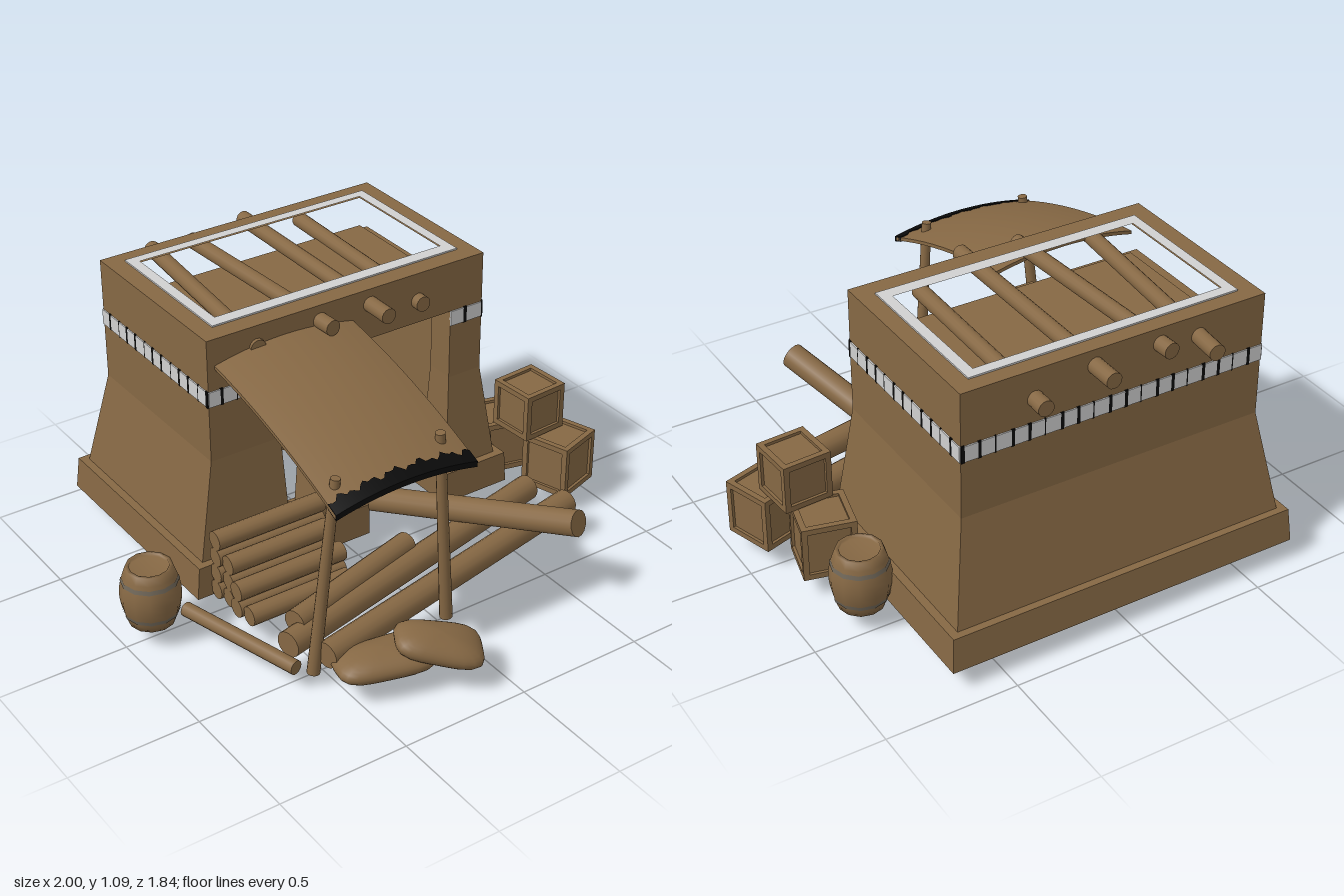
import * as THREE from 'three';

const mat = (name, color) => {
  const m = new THREE.MeshStandardMaterial({ color });
  m.name = name;
  return m;
};

export function createModel() {
  const clay = mat('brown clay', 0x866844);
  const white = mat('pale paint', 0xd0d0d0);
  const black = mat('black trim', 0x0a0a0a);
  const iron = mat('grey hoop', 0x6f6658);
  const model = new THREE.Group();

  const group = (name, parent = model) => {
    const g = new THREE.Group();
    g.name = name;
    parent.add(g);
    return g;
  };
  const add = (name, geo, material, parent = model) => {
    const m = new THREE.Mesh(geo, material);
    m.name = name;
    parent.add(m);
    return m;
  };
  const box = (name, w, h, d, x, y, z, material, parent) => {
    const m = add(name, new THREE.BoxGeometry(w, h, d), material, parent);
    m.position.set(x, y, z);
    return m;
  };
  // Tapered block between two rectangles [x0, x1, z0, z1]
  const block = (name, y0, lo, y1, hi, parent) => {
    const g = new THREE.BoxGeometry(1, 1, 1);
    const p = g.attributes.position;
    for (let i = 0; i < p.count; i++) {
      const up = p.getY(i) > 0, r = up ? hi : lo;
      p.setXYZ(i, r[p.getX(i) > 0 ? 1 : 0], up ? y1 : y0, r[p.getZ(i) > 0 ? 3 : 2]);
    }
    g.computeVertexNormals();
    return add(name, g, clay, parent);
  };
  // Flat rectangular ring lying in the xz plane
  const ring = (name, o, i, y, h, material, parent) => {
    const loop = (C, r) => {
      const c = new C();
      c.moveTo(r[0], -r[2]).lineTo(r[1], -r[2]).lineTo(r[1], -r[3]).lineTo(r[0], -r[3]);
      c.closePath();
      return c;
    };
    const s = loop(THREE.Shape, o);
    s.holes.push(loop(THREE.Path, i));
    const g = new THREE.ExtrudeGeometry(s, { depth: h, bevelEnabled: false });
    g.rotateX(-Math.PI / 2);
    add(name, g, material, parent).position.y = y;
  };
  // Round pole between two points
  const pole = (name, a, b, r, parent, r2 = r, sides = 14) => {
    const A = new THREE.Vector3(...a), B = new THREE.Vector3(...b);
    const d = B.clone().sub(A);
    const m = add(name, new THREE.CylinderGeometry(r2, r, d.length(), sides), clay, parent);
    m.position.copy(A).add(B).multiplyScalar(0.5);
    m.quaternion.setFromUnitVectors(new THREE.Vector3(0, 1, 0), d.normalize());
  };

  // House walls: plinth, sloping foot, upright upper part
  const house = group('house');
  const IN = [-0.48, 0.49, -0.7, -0.17];
  const wall = (name, base, low, top) => {
    block(name + 'Plinth', 0.08, base, 0.21, base.map(v => v * 0.985), house);
    block(name + 'Foot', 0.2, low, 0.6, top, house);
    block(name, 0.6, top, 0.89, top, house);
  };
  wall('backWall', [-0.7, 0.7, -0.92, -0.68], [-0.66, 0.66, -0.88, -0.7], [-0.59, 0.595, -0.8, -0.7]);
  wall('rightWall', [-0.7, -0.46, -0.92, 0], [-0.66, -0.48, -0.88, -0.03], [-0.59, -0.48, -0.8, -0.055]);
  wall('leftWall', [0.46, 0.7, -0.92, 0], [0.49, 0.66, -0.88, -0.03], [0.49, 0.595, -0.8, -0.055]);
  const fronts = [[-0.55, -0.3, 'frontWall'], [-0.14, 0, 'doorPillar'], [0.45, 0.56, 'cornerPillar']];
  for (const [a, b, n] of fronts)
    wall(n, [a - 0.05, b + 0.05, -0.2, 0], [a - 0.02, b + 0.02, -0.19, -0.03], [a, b, -0.17, -0.055]);
  ring('parapet', [-0.59, 0.595, -0.8, -0.055], IN, 0.88, 0.2, clay, house);
  ring('parapetRim', [-0.52, 0.53, -0.74, -0.13], [-0.48, 0.49, -0.7, -0.18], 1.078, 0.008, white, house);
  box('roof', 0.98, 0.04, 0.54, 0.005, 0.94, -0.435, clay, house);

  // Painted band of pale tiles with black gaps
  const band = group('paintedBand', house);
  const strip = (from, to, fixed, alongX) => {
    const n = Math.max(1, Math.round((to - from) / 0.062)), step = (to - from) / n;
    for (let i = 0; i < n; i++) {
      const tile = step * (i % 3 === 1 ? 0.92 : 0.8);
      const put = (name, w, h, c, m) => alongX
        ? box(name, w, h, 0.008, c, 0.85, fixed, m, band)
        : box(name, 0.008, h, w, fixed, 0.85, c, m, band);
      put('tile', tile, 0.06, from + i * step + tile / 2, white);
      put('gap', step - tile, 0.066, from + (i + 1) * step - (step - tile) / 2, black);
    }
  };
  strip(-0.59, 0.595, -0.801, true);
  strip(-0.48, 0.49, -0.699, true);
  strip(-0.8, -0.055, -0.591, false);
  strip(-0.8, -0.055, 0.596, false);
  strip(-0.59, -0.3, -0.054, true);
  strip(-0.14, 0, -0.054, true);
  strip(0.45, 0.595, -0.054, true);

  // Roof beams poking through the walls
  const beams = group('roofBeams');
  [[-0.31, -0.92, -0.39, -0.04, 1.0], [-0.17, -0.86, -0.12, 0.02, 1.02],
    [0.09, -0.91, 0.09, 0.06, 1.02], [0.32, -0.87, 0.3, -0.02, 0.97]]
    .forEach(([x0, z0, x1, z1, y]) => pole('beam', [x0, y, z0], [x1, y, z1], 0.03, beams));

  // Sagging awning with a ragged black hem
  const awning = group('awning');
  const sheet = (name, z0, z1, thick, material, jag) => {
    const g = new THREE.BoxGeometry(0.575, thick, z1 - z0, 40, 1, 10);
    const p = g.attributes.position;
    for (let i = 0; i < p.count; i++) {
      const x = p.getX(i);
      let z = p.getZ(i) + (z0 + z1) / 2;
      z += jag * (z1 - z) / (z1 - z0) * (Math.sin(x * 60) + Math.sin(x * 137));
      const arch = 0.035 * (1 - (x / 0.29) ** 2) - 0.035;
      p.setXYZ(i, x - 0.273, p.getY(i) + 0.995 - 0.17 * z - 0.19 * z * z + arch, z);
    }
    g.computeVertexNormals();
    add(name, g, material, awning);
  };
  sheet('cloth', -0.06, 0.678, 0.014, clay, 0);
  sheet('hem', 0.635, 0.682, 0.022, black, 0.008);
  pole('awningPost', [-0.57, 0.05, 0.55], [-0.5, 0.84, 0.59], 0.024, awning, 0.018);
  pole('awningPost', [0, 0.05, 0.55], [-0.065, 0.855, 0.575], 0.024, awning, 0.018);

  // Stacked firewood, stepped down to the front
  const stack = group('logStack');
  for (let row = 0; row < 4; row++)
    for (let k = 0; k < 4 - row; k++)
      pole('stackedLog', [-0.64 + 0.01 * (k % 2), 0.12 + row * 0.07, 0.03 + k * 0.068],
        [-0.19 - 0.02 * (k % 2), 0.12 + row * 0.07, 0.03 + k * 0.068], 0.037, stack);

  // Loose logs
  const logs = group('looseLogs');
  pole('log', [-0.62, 0.14, 0.47], [0.68, 0.14, 0.16], 0.05, logs);
  pole('log', [-0.55, 0.145, 0.6], [0.73, 0.145, 0.33], 0.05, logs);
  pole('log', [-0.56, 0.18, 0.42], [0.04, 0.18, 0.25], 0.045, logs);
  pole('leaningLog', [0.07, 0.047, -0.4], [0.46, 0.36, 0.71], 0.05, logs);
  pole('thinLog', [-0.78, 0.105, 0.05], [-0.64, 0.1, 0.55], 0.027, logs);

  // Barrels with iron hoops
  const bulge = t => 0.085 + 0.026 * Math.sin(Math.PI * t);
  for (const [x, z] of [[-0.89, 0], [0.78, -0.43]]) {
    const b = group('barrel');
    b.position.set(x, 0.08, z);
    const pts = [[0, 0], [0.085, 0]];
    for (let i = 1; i < 8; i++) pts.push([bulge(i / 8), 0.23 * i / 8]);
    pts.push([0.085, 0.23], [0.072, 0.23], [0.072, 0.218], [0, 0.218]);
    add('staves', new THREE.LatheGeometry(pts.map(q => new THREE.Vector2(...q)), 12), clay, b);
    for (const t of [0.2, 0.78]) {
      const r = bulge(t) + 0.002, d = t < 0.5 ? 0.002 : -0.002;
      add('hoop', new THREE.CylinderGeometry(r + d, r - d, 0.016, 12, 1, true), iron, b).position.y = 0.23 * t;
    }
  }

  // Framed crates
  const crate = (x, y, z, s, h, turn) => {
    const c = group('crate');
    c.position.set(x, y + h / 2, z);
    c.rotation.y = turn;
    const f = 0.022, e = (s - f) / 2, v = (h - f) / 2;
    box('panels', s - 0.022, h - 0.022, s - 0.022, 0, 0, 0, clay, c);
    for (const i of [-1, 1]) for (const j of [-1, 1]) {
      box('upright', f, h, f, i * e, 0, j * e, clay, c);
      box('railX', s - 2 * f, f, f, 0, i * v, j * e, clay, c);
      box('railZ', f, f, s - 2 * f, i * e, j * v, 0, clay, c);
    }
  };
  crate(0.78, 0.08, -0.155, 0.2, 0.215, -0.23);
  crate(0.87, 0.08, 0.11, 0.2, 0.215, 0.31);
  crate(0.81, 0.295, -0.01, 0.19, 0.19, 0.07);

  // Pillow-shaped grain sacks: spheres squared off in plan
  const sack = (pos, size, rot) => {
    const g = new THREE.SphereGeometry(1, 28, 18);
    const p = g.attributes.position;
    for (let i = 0; i < p.count; i++) {
      const x = p.getX(i), y = p.getY(i), z = p.getZ(i);
      const r = Math.hypot(x, z);
      const k = r > 1e-6 ? 1 / Math.pow((x / r) ** 4 + (z / r) ** 4, 0.25) : 1;
      p.setXYZ(i, x * k * size[0], y * size[1], z * k * size[2] * (1 + 0.15 * x));
    }
    g.computeVertexNormals();
    const m = add('sack', g, clay);
    m.position.set(...pos);
    m.rotation.set(...rot);
  };
  sack([-0.38, 0.12, 0.7], [0.18, 0.055, 0.1], [0, -0.2, 0]);
  sack([-0.21, 0.165, 0.785], [0.16, 0.055, 0.095], [0.15, -0.5, -0.2]);

  return model;
}
